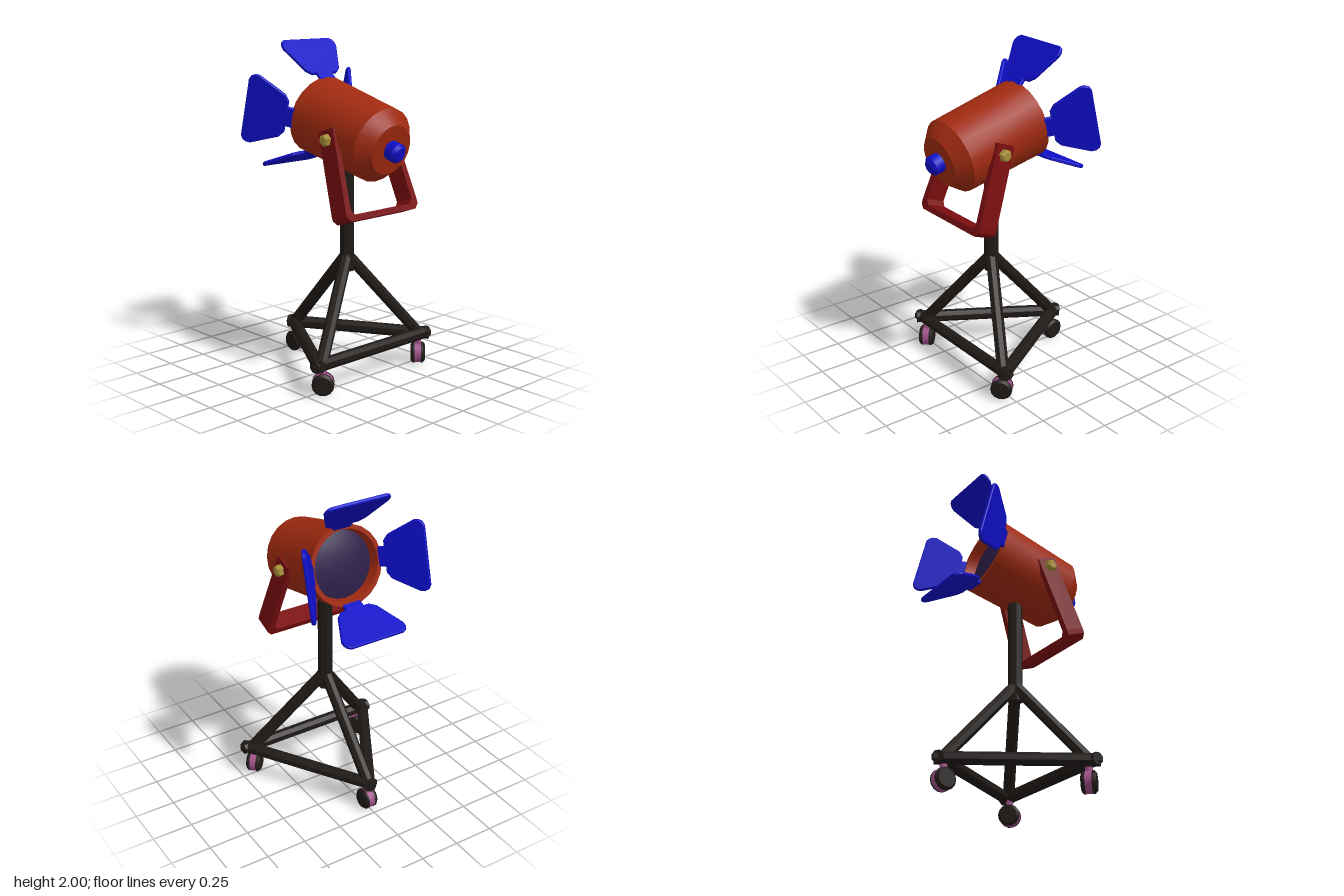
import * as THREE from 'three';
import { toCreasedNormals } from 'three/addons/utils/BufferGeometryUtils.js';

const mat = (color) => new THREE.MeshStandardMaterial({ color });
const V = (x, y, z) => new THREE.Vector3(x, y, z);

function add(parent, name, geometry, material) {
  const mesh = new THREE.Mesh(geometry, material);
  mesh.name = name;
  parent.add(mesh);
  return mesh;
}

// Turned shape around y from [radius, y] pairs listed bottom to top on the outside
function turned(points, sides, crease = 0.5) {
  const g = new THREE.LatheGeometry(points.map(([r, y]) => new THREE.Vector2(r, y)), sides);
  return toCreasedNormals(g, crease);
}

// Eight-sided bar between two points, with flat faces up and down
function bar(parent, name, a, b, r, material) {
  const dir = b.clone().sub(a);
  const g = new THREE.CylinderGeometry(r * 1.08, r * 1.08, dir.length(), 8);
  g.rotateY(Math.PI / 8);
  const mesh = add(parent, name, toCreasedNormals(g, 0.5), material);
  const y = dir.clone().normalize();
  const side = Math.abs(y.y) > 0.99 ? V(1, 0, 0) : V(0, 1, 0).cross(y).normalize();
  mesh.quaternion.setFromRotationMatrix(
    new THREE.Matrix4().makeBasis(side, y, side.clone().cross(y)));
  mesh.position.copy(a).add(b).multiplyScalar(0.5);
}

// Flat plate from half an outline, mirrored in x
function plate(half, depth, bevel = 0) {
  const pts = [...half, ...half.map(([x, y]) => [-x, y]).reverse()];
  const shape = new THREE.Shape(pts.map(([x, y]) => new THREE.Vector2(x, y)));
  const g = new THREE.ExtrudeGeometry(shape, {
    depth: depth - 2 * bevel, bevelEnabled: bevel > 0,
    bevelSize: bevel, bevelThickness: bevel, bevelOffset: -bevel, bevelSegments: 1,
  });
  return g.translate(0, 0, bevel - depth / 2);
}

export function createModel() {
  const model = new THREE.Group();
  model.name = 'stageLight';
  const black = mat(0x1f1a17), orange = mat(0xa02a10), blue = mat(0x0e0ec8);
  const red = mat(0x7a0d0f), gold = mat(0xa68e36), pink = mat(0xa0508a), purple = mat(0x2e1f4a);

  // Stand: post, triangular base and three sloping legs
  const stand = new THREE.Group();
  stand.name = 'stand';
  model.add(stand);
  bar(stand, 'post', V(0, 0.63, 0.06), V(0, 1.34, 0.06), 0.042, black);
  const corners = [V(-0.44, 0.188, 0.29), V(0.44, 0.188, 0.29), V(0, 0.188, -0.44)];
  corners.forEach((c, i) => {
    const n = corners[(i + 1) % 3];
    const over = n.clone().sub(c).normalize().multiplyScalar(0.036);
    bar(stand, 'baseBar', c.clone().sub(over), n.clone().add(over), 0.035, black);
    const foot = V(c.x * 0.93, 0.19, c.z * 0.97);
    bar(stand, 'leg', foot, V(0, 0.73, 0.06), 0.034, black);
  });

  // Casters
  const tread = turned([[0, -0.022], [0.064, -0.022], [0.064, 0.022], [0, 0.022]], 14);
  const cheek = turned([[0, 0.02], [0.066, 0.02], [0.066, 0.03], [0.052, 0.044], [0, 0.044]], 14);
  [[-0.4, 0.283, Math.PI / 4], [0.4, 0.283, -Math.PI / 4], [0, -0.418, 0]].forEach(([x, z, turn]) => {
    const caster = new THREE.Group();
    caster.name = 'caster';
    caster.position.set(x, 0.067, z);
    caster.rotation.y = turn;
    model.add(caster);
    add(caster, 'wheelTread', tread, pink).rotation.z = Math.PI / 2;
    for (const s of [-1, 1]) add(caster, 'wheelCheek', cheek, black).rotation.z = s * Math.PI / 2;
    add(caster, 'casterStem', new THREE.CylinderGeometry(0.022, 0.022, 0.06, 10), pink).position.y = 0.08;
  });

  // Yoke holding the lamp
  const yoke = new THREE.Group();
  yoke.name = 'yoke';
  yoke.position.set(0, 1.0, 0.317);
  yoke.rotation.x = -0.346;
  model.add(yoke);
  const yokeHalf = [[0.262, 0], [0.29, 0.028], [0.29, 0.06], [0.24, 0.545], [0.205, 0.545],
    [0.248, 0.065], [0.225, 0.036]];
  add(yoke, 'yokeFrame', plate(yokeHalf, 0.125), red);
  for (const s of [-1, 1]) {
    const g = turned([[0, 0], [0.037, 0], [0.037, 0.03], [0.026, 0.042], [0, 0.042]], 6, 0.3);
    const bolt = add(yoke, 'yokeBolt', g, gold);
    bolt.position.set(s * 0.24, 0.486, 0);
    bolt.rotation.z = -s * Math.PI / 2;
  }

  // Lamp: local +y points out of the opening, local +z points up
  const lamp = new THREE.Group();
  lamp.name = 'lamp';
  lamp.position.set(0, 1.555, -0.172);
  lamp.rotation.x = -1.323;
  model.add(lamp);
  add(lamp, 'housing', turned([[0, -0.615], [0.15, -0.615], [0.225, -0.537], [0.239, 0],
    [0.212, 0], [0.2, -0.07], [0, -0.07]], 22), orange);
  add(lamp, 'lens', turned([[0.203, -0.066], [0.15, -0.045], [0.08, -0.034], [0, -0.03]], 22, 1), purple);
  add(lamp, 'rearKnob', turned([[0, -0.69], [0.038, -0.69], [0.058, -0.672], [0.058, -0.61], [0, -0.61]], 14), blue);

  // Four barn door flaps around the opening
  const flapHalf = [[0.06, -0.012], [0.06, 0.032], [0.095, 0.032], [0.132, 0.06],
    [0.21, 0.228], [0.21, 0.255], [0.198, 0.278], [0.175, 0.29]];
  const flap = plate(flapHalf, 0.022, 0.005);
  for (let i = 0; i < 4; i++) {
    const hinge = new THREE.Group();
    hinge.name = 'flapHinge';
    hinge.rotation.y = i * Math.PI / 2;
    lamp.add(hinge);
    const door = add(hinge, 'barnDoor', flap, blue);
    door.position.z = 0.23;
    door.rotation.x = 0.61;
  }
  return model;
}
